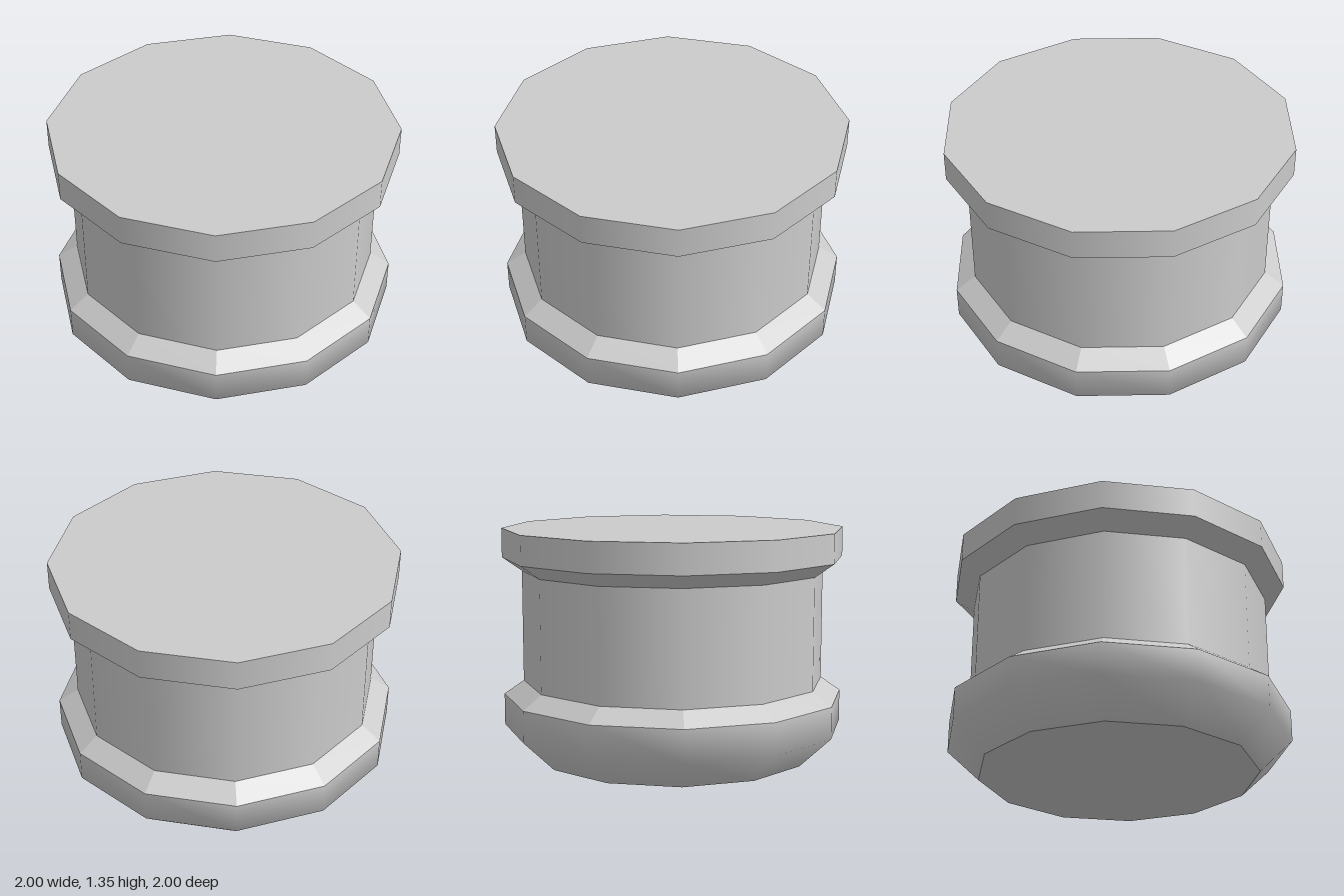
import * as THREE from 'three';

const SIDES = 12;
const smooth = new THREE.MeshStandardMaterial({ color: 0xcccccc });
const flat = new THREE.MeshStandardMaterial({ color: 0xcccccc, flatShading: true });

// Turned band from a bottom-to-top profile of [radius, height]
function band(name, profile, material) {
  const points = profile.map(([r, y]) => new THREE.Vector2(r, y));
  const mesh = new THREE.Mesh(new THREE.LatheGeometry(points, SIDES), material);
  mesh.name = name;
  return mesh;
}

// Flat end disc, facing up or down
function cap(name, radius, y, up) {
  const geometry = new THREE.CircleGeometry(radius, SIDES);
  geometry.rotateX(up ? -Math.PI / 2 : Math.PI / 2);
  geometry.translate(0, y, 0);
  const mesh = new THREE.Mesh(geometry, flat);
  mesh.name = name;
  return mesh;
}

export function createModel() {
  const model = new THREE.Group();
  model.name = 'drum';
  model.add(
    // Lower flange: chamfered foot, wall and faceted shoulder
    cap('bottomCap', 0.81, 0, false),
    band('lowerRim', [[0.81, 0], [1, 0.18], [1, 0.365]], smooth),
    band('lowerBevel', [[1, 0.365], [0.885, 0.445]], flat),
    // Waist
    band('waist', [[0.885, 0.445], [0.885, 1.095]], smooth),
    // Upper flange
    band('upperBevel', [[0.885, 1.095], [1, 1.175]], flat),
    band('upperRim', [[1, 1.175], [1, 1.345]], smooth),
    cap('topCap', 1, 1.345, true),
  );
  return model;
}
